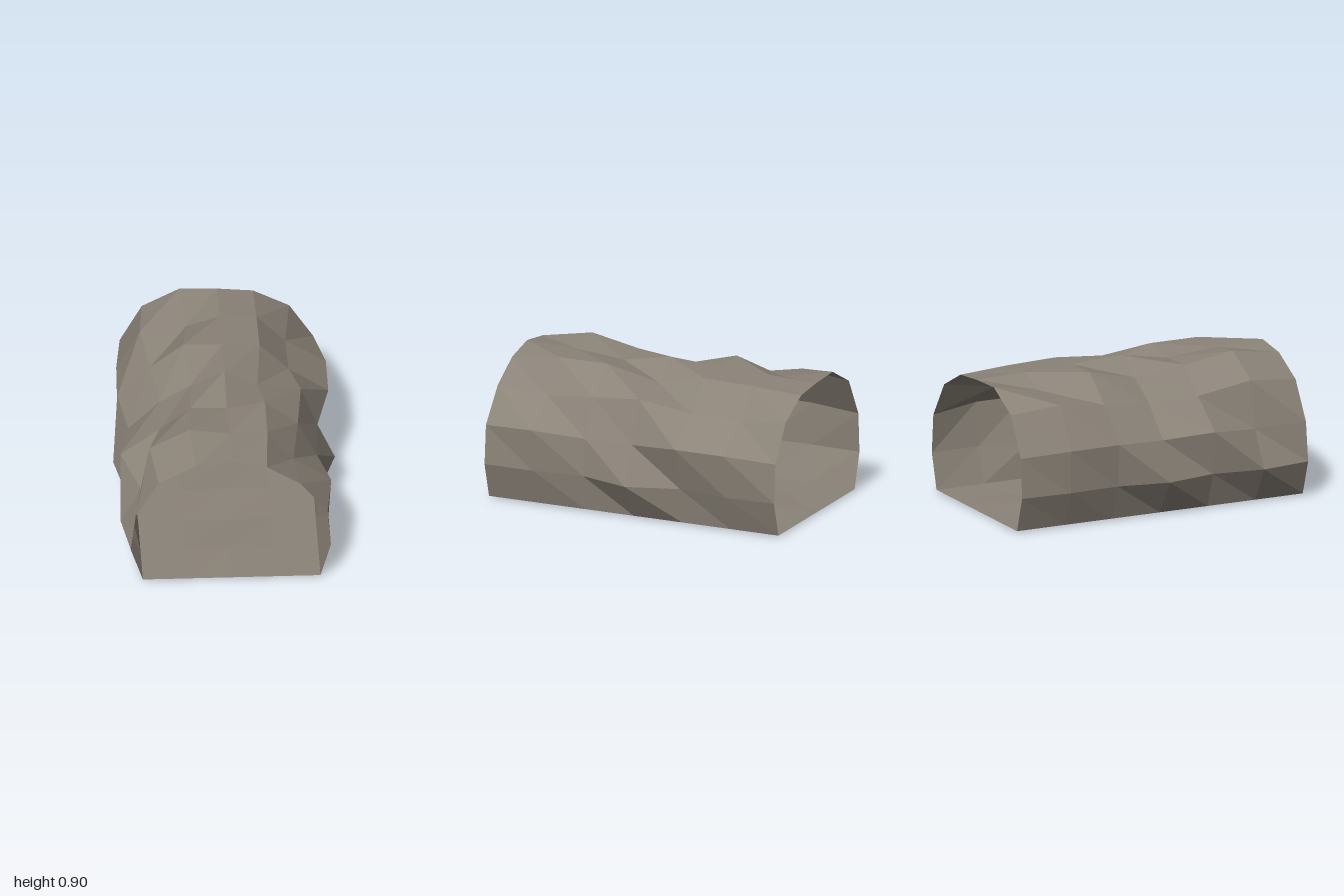
import * as THREE from 'three';

const RINGS = 7;
const CENTRE_Y = 0.24;
const HALF_FLOOR = 0.555, FLOOR_Y = 0.015;
const ringZ = (i) => -1 + (2 * i) / (RINGS - 1);

// Angles of the arch points, from the left side (+x) over the crown to the right side
const ANGLES = [0, 22.7, 47, 69.5, 90, 110.5, 133, 157.3, 180];

// Rough rock: radius of each arch point, one row per ring from back to front
const RADII = [
  [0.62, 0.65, 0.66, 0.64, 0.62, 0.67, 0.69, 0.66, 0.625],
  [0.63, 0.72, 0.60, 0.66, 0.63, 0.60, 0.73, 0.70, 0.64],
  [0.585, 0.72, 0.61, 0.67, 0.64, 0.69, 0.66, 0.71, 0.63],
  [0.69, 0.63, 0.70, 0.59, 0.66, 0.60, 0.60, 0.65, 0.695],
  [0.59, 0.61, 0.65, 0.68, 0.60, 0.65, 0.62, 0.72, 0.63],
  [0.62, 0.69, 0.59, 0.68, 0.63, 0.71, 0.73, 0.60, 0.68],
  [0.62, 0.65, 0.63, 0.63, 0.64, 0.65, 0.67, 0.65, 0.63],
];

function archPoint(i, j) {
  // the two feet stay on straight lines
  if (j === 0) return [HALF_FLOOR, FLOOR_Y, ringZ(i)];
  if (j === ANGLES.length + 1) return [-HALF_FLOOR, FLOOR_Y, ringZ(i)];
  const a = THREE.MathUtils.degToRad(ANGLES[j - 1]);
  const r = RADII[i][j - 1];
  return [r * Math.cos(a), CENTRE_Y + r * Math.sin(a), ringZ(i)];
}

// Nearly flat floor with slight bumps away from its border
const FLOOR_COLUMNS = 5;
function floorPoint(i, j) {
  const inner = i > 0 && i < RINGS - 1 && j > 0 && j < FLOOR_COLUMNS - 1;
  const bump = inner ? 0.011 * Math.cos(i * Math.PI + j * 1.57) : 0;
  const x = HALF_FLOOR * (1 - (2 * j) / (FLOOR_COLUMNS - 1));
  return [x, FLOOR_Y + bump, ringZ(i)];
}

// Faceted skin over a grid of points, every quad split the same way
function skin(point, columns) {
  const positions = [];
  for (let i = 0; i < RINGS - 1; i++) {
    for (let j = 0; j < columns - 1; j++) {
      const a = point(i, j), b = point(i, j + 1);
      const c = point(i + 1, j), d = point(i + 1, j + 1);
      positions.push(...a, ...d, ...c, ...a, ...b, ...d);
    }
  }
  const geometry = new THREE.BufferGeometry();
  geometry.setAttribute('position', new THREE.Float32BufferAttribute(positions, 3));
  geometry.computeVertexNormals();
  return geometry;
}

export function createModel() {
  const group = new THREE.Group();
  group.name = 'rockTunnel';

  const rock = new THREE.MeshStandardMaterial({
    color: 0x8b8378, flatShading: true, side: THREE.DoubleSide,
  });
  rock.name = 'rock';

  const vault = new THREE.Mesh(skin(archPoint, ANGLES.length + 2), rock);
  vault.name = 'vault';
  const floor = new THREE.Mesh(skin(floorPoint, FLOOR_COLUMNS), rock);
  floor.name = 'floor';

  group.add(vault, floor);
  return group;
}
